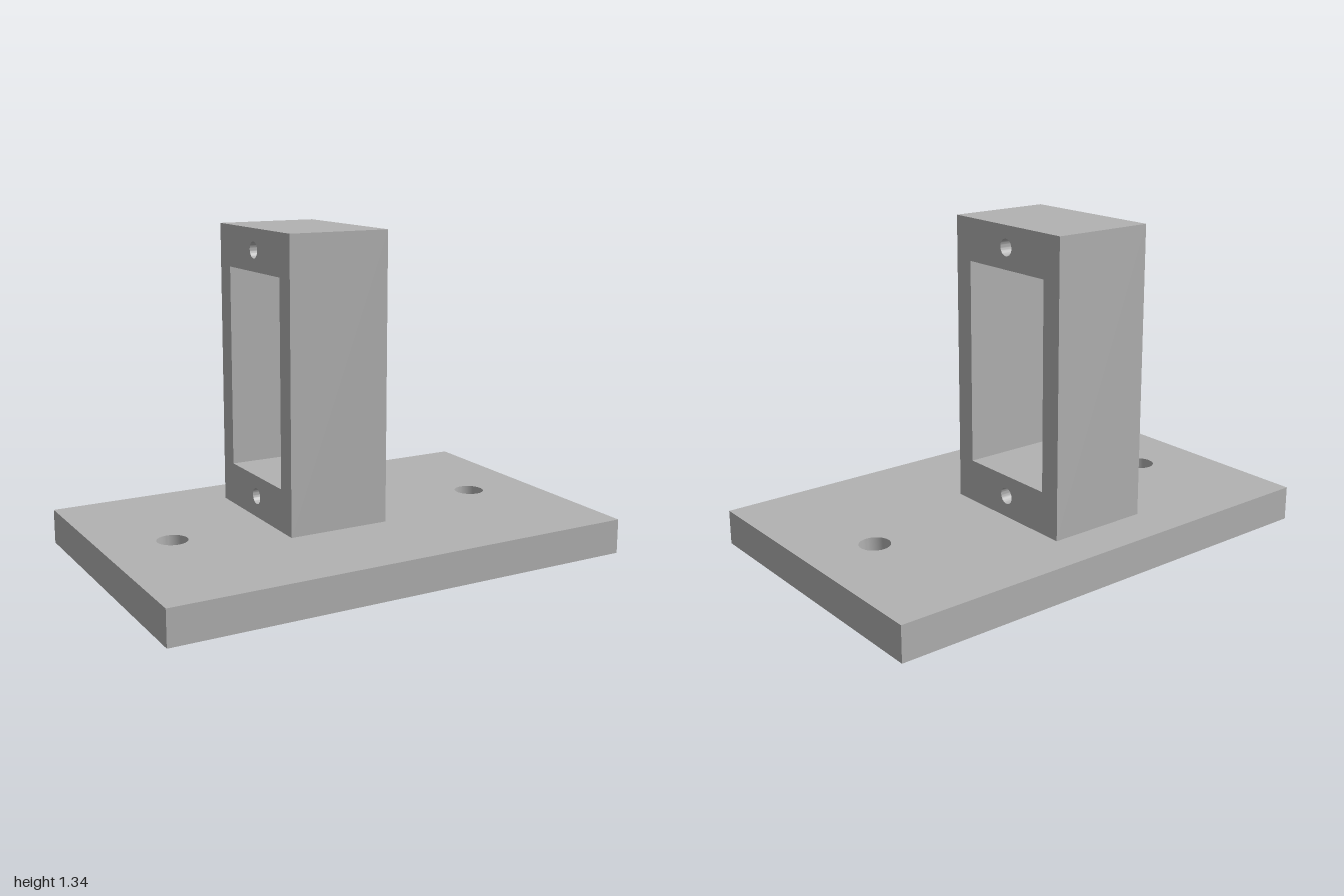
import * as THREE from 'three';
import { toCreasedNormals } from 'three/addons/utils/BufferGeometryUtils.js';

// Closed rectangle, usable as an outline or as a hole
function rect(Type, x0, y0, x1, y1) {
  return new Type([[x0, y0], [x1, y0], [x1, y1], [x0, y1]].map(([x, y]) => new THREE.Vector2(x, y)));
}

function roundHole(x, y, radius) {
  return new THREE.Path().absarc(x, y, radius, 0, Math.PI * 2, true);
}

function plate(outline, holes, depth) {
  outline.holes.push(...holes);
  const geometry = new THREE.ExtrudeGeometry(outline, { depth, bevelEnabled: false, curveSegments: 24 });
  return toCreasedNormals(geometry, 0.6);
}

export function createModel() {
  const model = new THREE.Group();
  model.name = 'mountingBracket';
  const gray = new THREE.MeshStandardMaterial({ color: 0xb2b2b2 });
  gray.name = 'gray';

  const baseHeight = 0.145;

  // Base plate with two mounting holes; drawn in x, -z and extruded upward
  const baseGeometry = plate(
    rect(THREE.Shape, -1, -0.635, 1, 0.635),
    [-0.71, 0.71].map((x) => roundHole(x, 0.02, 0.063)),
    baseHeight
  ).rotateX(-Math.PI / 2);
  const base = new THREE.Mesh(baseGeometry, gray);
  base.name = 'basePlate';
  model.add(base);

  // Upright frame with window and screw holes; drawn in -z, y and extruded along x
  const frameGeometry = plate(
    rect(THREE.Shape, -0.187, baseHeight, 0.442, 1.342),
    [
      rect(THREE.Path, -0.1, 0.322, 0.352, 1.168),
      ...[0.235, 1.255].map((y) => roundHole(0.127, y, 0.034)),
    ],
    0.435
  ).rotateY(Math.PI / 2).translate(-0.29, 0, 0);
  const frame = new THREE.Mesh(frameGeometry, gray);
  frame.name = 'uprightFrame';
  model.add(frame);

  return model;
}
